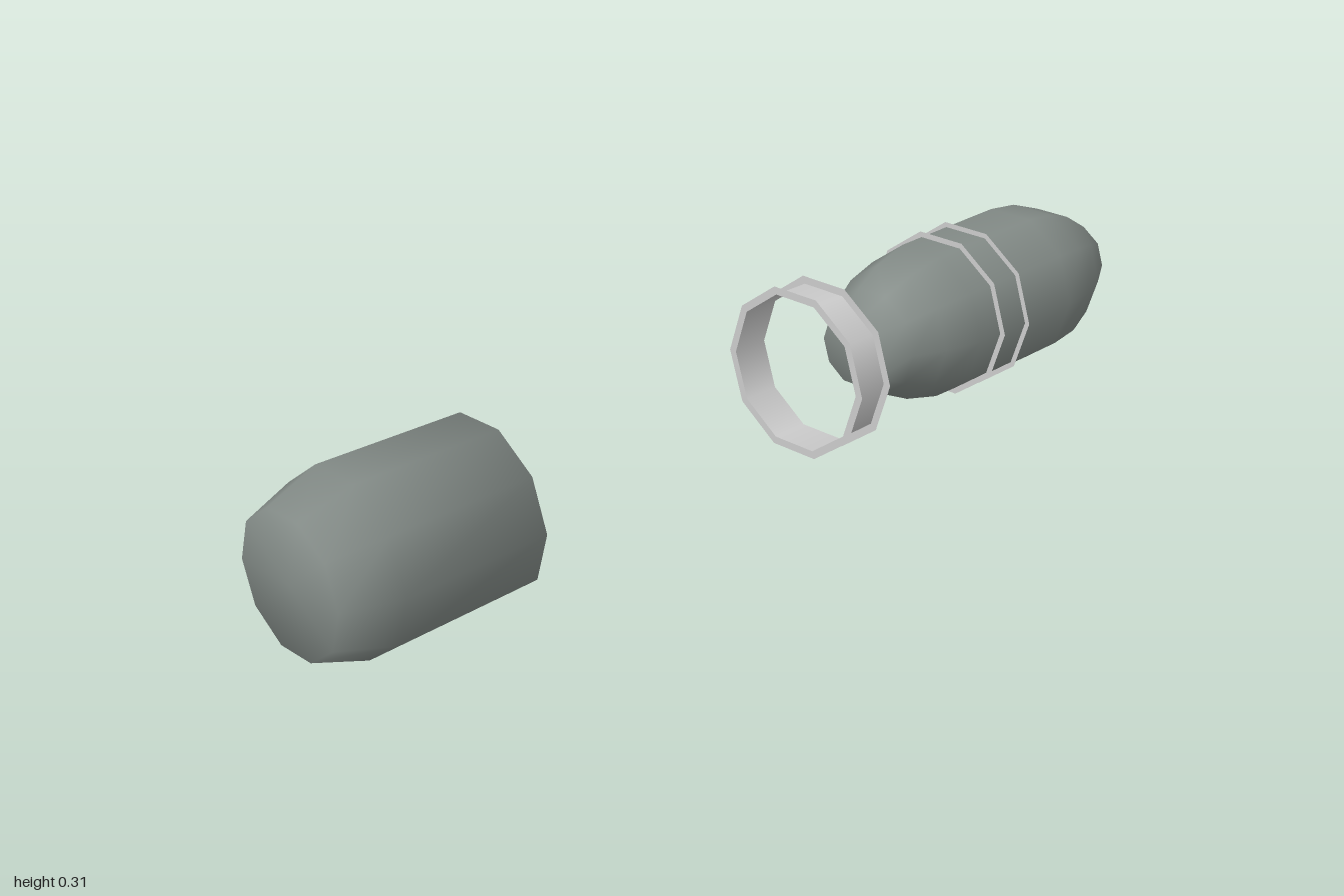
import * as THREE from 'three';

const SIDES = 10;
const AXIS_Y = 0.154;

// Turns a profile of [x, radius] points around the long axis.
function turned(name, profile, material) {
  const geometry = new THREE.LatheGeometry(profile.map(([x, r]) => new THREE.Vector2(r, x)), SIDES);
  geometry.rotateZ(-Math.PI / 2);
  const mesh = new THREE.Mesh(geometry, material);
  mesh.name = name;
  mesh.position.y = AXIS_Y;
  return mesh;
}

// Channel-shaped ring: an inner wall with a thin flange on each side.
function channelRing(name, x, material) {
  const width = 0.075, inner = 0.147, outer = 0.162;
  const ring = new THREE.Group();
  ring.name = name;
  ring.add(
    turned('ringWall', [[x, inner], [x + width, inner]], material),
    turned('rearFlange', [[x, outer], [x, inner]], material),
    turned('frontFlange', [[x + width, inner], [x + width, outer]], material)
  );
  return ring;
}

export function createModel() {
  const metal = new THREE.MeshStandardMaterial({ color: 0x838b87 });
  const band = new THREE.MeshStandardMaterial({ color: 0xcccccc, side: THREE.DoubleSide });
  const model = new THREE.Group();
  model.name = 'projectileParts';

  // Pointed body with a tapered tail
  model.add(turned('pointedBody', [
    [0.24, 0], [0.24, 0.074], [0.29, 0.103], [0.35, 0.131], [0.43, 0.15],
    [0.7, 0.154], [0.77, 0.146], [0.84, 0.121], [0.92, 0.074], [1, 0]
  ], metal));

  // Base cup, chamfered at the rear
  model.add(turned('baseCup', [
    [-1, 0], [-1, 0.121], [-0.905, 0.155], [-0.635, 0.151], [-0.635, 0]
  ], metal));

  // Loose ring behind the body, and its twin around the body
  model.add(channelRing('looseRing', 0.08, band));
  model.add(channelRing('bodyRing', 0.485, band));

  return model;
}
